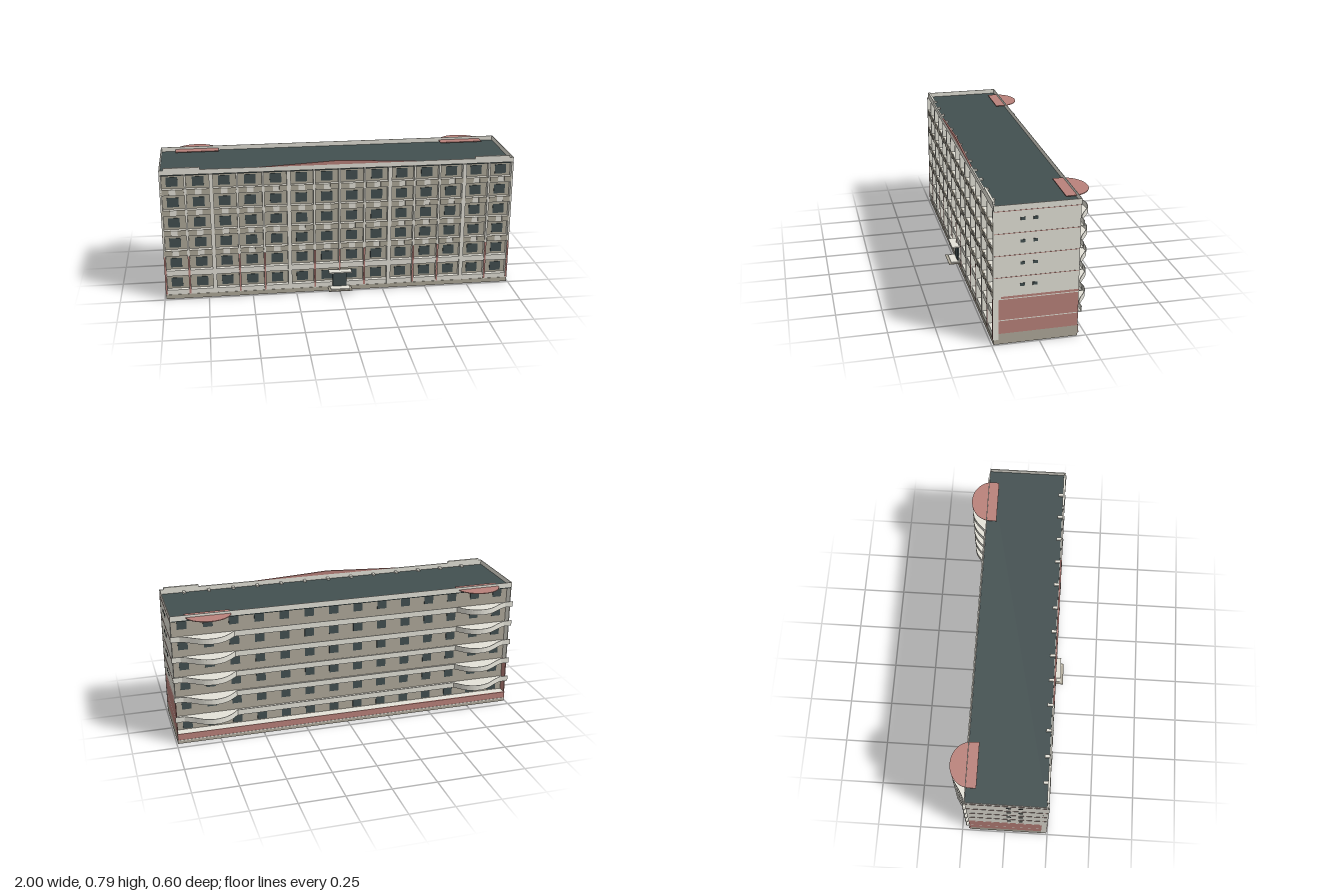
import * as THREE from 'three';

const mat = (name, color) => {
  const m = new THREE.MeshStandardMaterial({ color });
  m.name = name;
  return m;
};

export function createModel() {
  const pale = mat('pale concrete', 0xe5e3d9);
  const taupe = mat('taupe render', 0xb0aa9b);
  const red = mat('brick red', 0xba827b);
  const dark = mat('dark slate', 0x435051);

  const model = new THREE.Group();
  model.name = 'apartmentBlock';
  const group = (name) => {
    const g = new THREE.Group();
    g.name = name;
    model.add(g);
    return g;
  };
  // Box given by its limits on each axis
  const box = (parent, name, m, x0, x1, y0, y1, z0, z1) => {
    const mesh = new THREE.Mesh(new THREE.BoxGeometry(x1 - x0, y1 - y0, z1 - z0), m);
    mesh.position.set((x0 + x1) / 2, (y0 + y1) / 2, (z0 + z1) / 2);
    mesh.name = name;
    parent.add(mesh);
  };
  // Plan outline (x, -z) raised into a slab with its underside at y
  const slab = (parent, name, m, points, y, height) => {
    const geo = new THREE.ExtrudeGeometry(new THREE.Shape(points), { depth: height, bevelEnabled: false });
    geo.rotateX(-Math.PI / 2);
    const mesh = new THREE.Mesh(geo, m);
    mesh.position.y = y;
    mesh.name = name;
    parent.add(mesh);
  };

  const pitch = 0.1425, storey = 0.12, E = 0.993, I = 0.989;
  const columns = Array.from({ length: 14 }, (_, i) => (i - 6.5) * pitch);
  const rows = Array.from({ length: 6 }, (_, i) => 0.09 + i * storey);

  // End walls: stacked colour courses over an open base
  const courses = [
    [taupe, 0, 0.06], [red, 0.06, 0.133], [pale, 0.133, 0.138], [red, 0.138, 0.253],
    [pale, 0.253, 0.258], [pale, 0.27, 0.765],
  ];
  for (const s of [-1, 1]) {
    const g = group(s > 0 ? 'leftEndWall' : 'rightEndWall');
    const side = (name, m, a, b, y0, y1, z0, z1) =>
      box(g, name, m, Math.min(s * a, s * b), Math.max(s * a, s * b), y0, y1, z0, z1);
    for (const [m, y0, y1] of courses) side('wallCourse', m, I, E, y0, y1, -0.205, 0.238);
    side('redCourse', red, I, E, 0.258, 0.27, -0.205, 0.2);
    side('paleCorner', pale, I, E, 0.258, 0.27, 0.2, 0.238);
    for (let i = 0; i < 4; i++) {
      side('redLine', red, E, 0.9945, 0.3745 + i * 0.119, 0.3775 + i * 0.119, -0.203, 0.236);
      for (const z of [0.091, 0.026]) {
        const y = 0.329 + i * 0.1195;
        side('endWindow', dark, E, 0.9955, y - 0.008, y + 0.008, z - 0.012, z + 0.012);
      }
    }
  }

  // Recessed front wall behind a pale frame of piers and beams
  const front = group('frontFacade');
  const wallZ = 0.213;
  box(front, 'frontWall', taupe, -I, I, 0, 0.738, wallZ - 0.006, wallZ);
  box(front, 'frontBase', taupe, -E, E, 0, 0.026, wallZ, 0.24);
  box(front, 'frontPlinth', pale, -E, E, 0.026, 0.054, wallZ, 0.238);
  rows.forEach((y, r) => {
    const top = r < 5 ? rows[r + 1] - 0.038 : 0.738;
    box(front, 'floorBeam', pale, -E, E, y + 0.049, top, wallZ, 0.237);
    for (const x of columns) {
      box(front, 'frontWindow', dark, x - 0.032, x + 0.032, y - 0.025, y + 0.029, wallZ, wallZ + 0.003);
      if (r < 2) continue;
      for (const s of [-1, 1]) {
        const c = x + s * 0.041;
        box(front, 'balconyPanel', taupe, c - 0.023, c + 0.023, y - 0.066, y - 0.036, 0.234, 0.2425);
      }
    }
  });
  for (let k = -7; k <= 7; k++) {
    const a = Math.abs(k), x = Math.sign(k) * Math.min(a * pitch, 0.988);
    const w = a === 2 || a === 5 ? 0.011 : 0.0055;
    box(front, 'pier', pale, x - w, x + w, 0.026, 0.736, wallZ, 0.2425);
    if (a !== 2 && a !== 5) {
      box(front, 'redPier', red, x - 0.005, x + 0.005, 0.03, 0.258, 0.2425, 0.244);
    }
  }

  // Entrance
  const entrance = group('entrance');
  box(entrance, 'door', dark, -0.04, 0.04, 0.028, 0.12, 0.236, 0.245);
  box(entrance, 'canopy', pale, -0.065, 0.065, 0.122, 0.129, 0.236, 0.28);
  box(entrance, 'upperStep', pale, -0.055, 0.055, 0.022, 0.028, 0.236, 0.285);
  box(entrance, 'lowerStep', taupe, -0.068, 0.066, 0.019, 0.023, 0.236, 0.3);

  // Recessed back wall, its windows and the plinth carrying the ground gallery
  const back = group('backFacade');
  const backZ = -0.155;
  box(back, 'backWall', taupe, -I, I, 0.06, 0.738, backZ, backZ + 0.006);
  box(back, 'groundGallery', pale, -I, I, 0.056, 0.061, -0.205, backZ);
  box(back, 'backBase', taupe, -I, I, 0, 0.02, -0.205, -0.2);
  box(back, 'backPlinth', red, -E, E, 0.02, 0.061, -0.209, -0.2);
  box(back, 'backLedge', pale, -E, E, 0.019, 0.024, -0.211, -0.2);
  for (const y of rows) for (const x of columns) {
    box(back, 'backWindow', dark, x - 0.027, x + 0.027, y - 0.024, y + 0.03, backZ - 0.003, backZ);
  }

  // Galleries: straight along the back, swelling into rounded balconies near both ends
  const bulge = new THREE.CatmullRomCurve3([
    [0.95, 0.222], [0.91, 0.243], [0.87, 0.27], [0.835, 0.29], [0.785, 0.3],
    [0.73, 0.289], [0.69, 0.263], [0.665, 0.237], [0.65, 0.222],
  ].map(([x, d]) => new THREE.Vector3(x, d, 0))).getPoints(24);
  const half = [new THREE.Vector2(1, 0.222), ...bulge.map((p) => new THREE.Vector2(p.x, Math.min(p.y, 0.3)))];
  const outer = [...half, ...half.map((p) => new THREE.Vector2(-p.x, p.y)).reverse()];
  const inner = outer.map((p) => new THREE.Vector2(p.x, p.y - 0.004)).reverse();
  const floorPlan = [
    ...outer, ...[[-1, 0.206], [-I, 0.206], [-I, -backZ], [I, -backZ], [I, 0.206], [1, 0.206]]
      .map(([x, d]) => new THREE.Vector2(x, d)),
  ];
  const galleries = group('backGalleries');
  for (let i = 0; i < 5; i++) {
    const y = 0.141 + i * 0.1195;
    slab(galleries, 'galleryFloor', pale, floorPlan, y, 0.005);
    slab(galleries, 'galleryParapet', pale, [...outer, ...inner], y, 0.032);
  }

  // Roof, parapets and the pier heads showing above the deck
  const roof = group('roof');
  box(roof, 'roofDeck', dark, -I, I, 0.73, 0.739, -0.206, 0.228);
  box(roof, 'frontParapet', pale, -E, E, 0.738, 0.765, 0.23, 0.238);
  box(roof, 'backParapet', pale, -E, E, 0.736, 0.765, -0.209, -0.206);
  for (let k = -6; k <= 6; k++) {
    box(roof, 'pierHead', pale, k * pitch - 0.008, k * pitch + 0.008, 0.738, 0.748, 0.202, 0.23);
  }
  for (const s of [-1, 1]) {
    box(roof, 'raisedCorner', pale, s * 0.87 - 0.1, s * 0.87 + 0.1, 0.765, 0.777, 0.226, 0.238);
    // Rounded canopy over each stack of balconies
    const plan = [new THREE.Vector2(s * 0.785 - 0.125, 0.15), new THREE.Vector2(s * 0.785 + 0.125, 0.15)];
    for (let i = 0; i <= 20; i++) {
      const t = (i / 20) * Math.PI;
      plan.push(new THREE.Vector2(s * 0.785 + 0.125 * Math.cos(t), 0.19 + 0.11 * Math.sin(t)));
    }
    slab(roof, 'balconyCanopy', red, plan, 0.747, 0.004);
  }

  // Shallow red gable above the entrance
  const gable = new THREE.Shape();
  gable.moveTo(-0.45, 0.764);
  gable.lineTo(0.45, 0.764);
  gable.quadraticCurveTo(0.2, 0.776, 0, 0.787);
  gable.quadraticCurveTo(-0.2, 0.776, -0.45, 0.764);
  const gableMesh = new THREE.Mesh(new THREE.ExtrudeGeometry(gable, { depth: 0.009, bevelEnabled: false }), red);
  gableMesh.position.z = 0.23;
  gableMesh.name = 'frontGable';
  roof.add(gableMesh);

  return model;
}
